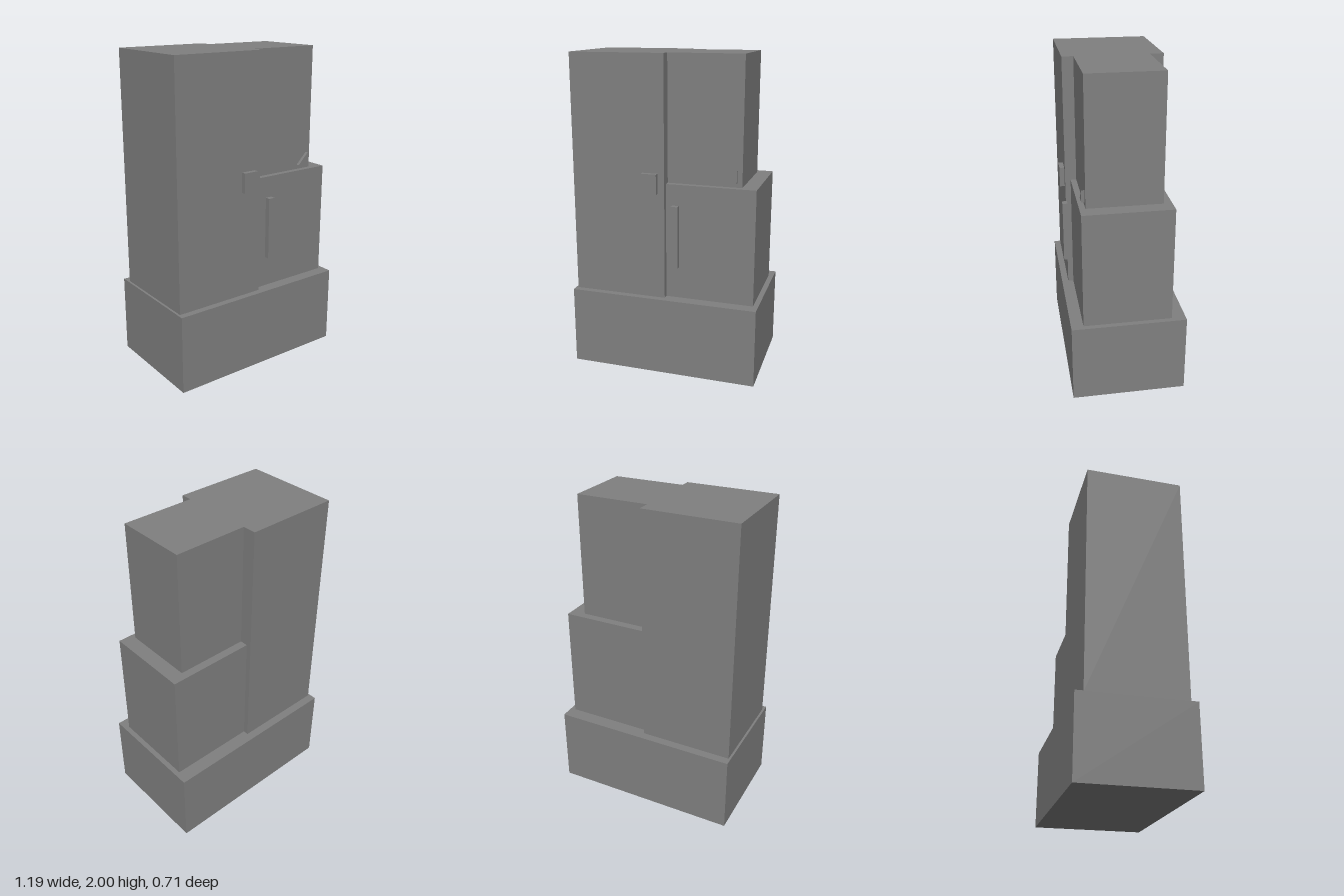
import * as THREE from 'three';

export function createModel() {
  const group = new THREE.Group();
  const grey = new THREE.MeshStandardMaterial({ color: 0x808080 });
  grey.name = 'grey';

  const add = (name, geometry) => {
    const mesh = new THREE.Mesh(geometry, grey);
    mesh.name = name;
    group.add(mesh);
    return mesh;
  };

  // Box given by its extents on each axis
  const block = (name, [x0, x1], [y0, y1], [z0, z1]) =>
    add(name, new THREE.BoxGeometry(x1 - x0, y1 - y0, z1 - z0))
      .position.set((x0 + x1) / 2, (y0 + y1) / 2, (z0 + z1) / 2);

  // Main stepped volumes
  block('base', [-0.597, 0.597], [0, 0.5], [-0.353, 0.353]);
  block('tallBlock', [-0.583, 0.01], [0.5, 2], [-0.3, 0.312]);
  block('middleBlock', [0.01, 0.565], [0.5, 1.227], [-0.266, 0.278]);
  block('upperBlock', [0.01, 0.472], [1.227, 2], [-0.215, 0.242]);

  // Small front details
  block('frontPanel', [-0.128, -0.032], [1.17, 1.295], [0.31, 0.342]);
  block('frontBar', [0.06, 0.102], [0.713, 1.105], [0.31, 0.342]);

  // Triangular wedge
  const triangle = new THREE.Shape([
    new THREE.Vector2(0.368, 1.255),
    new THREE.Vector2(0.442, 1.255),
    new THREE.Vector2(0.442, 1.33),
  ]);
  add('triangleWedge', new THREE.ExtrudeGeometry(triangle, { depth: 0.02, bevelEnabled: false }))
    .position.z = 0.242;

  return group;
}
